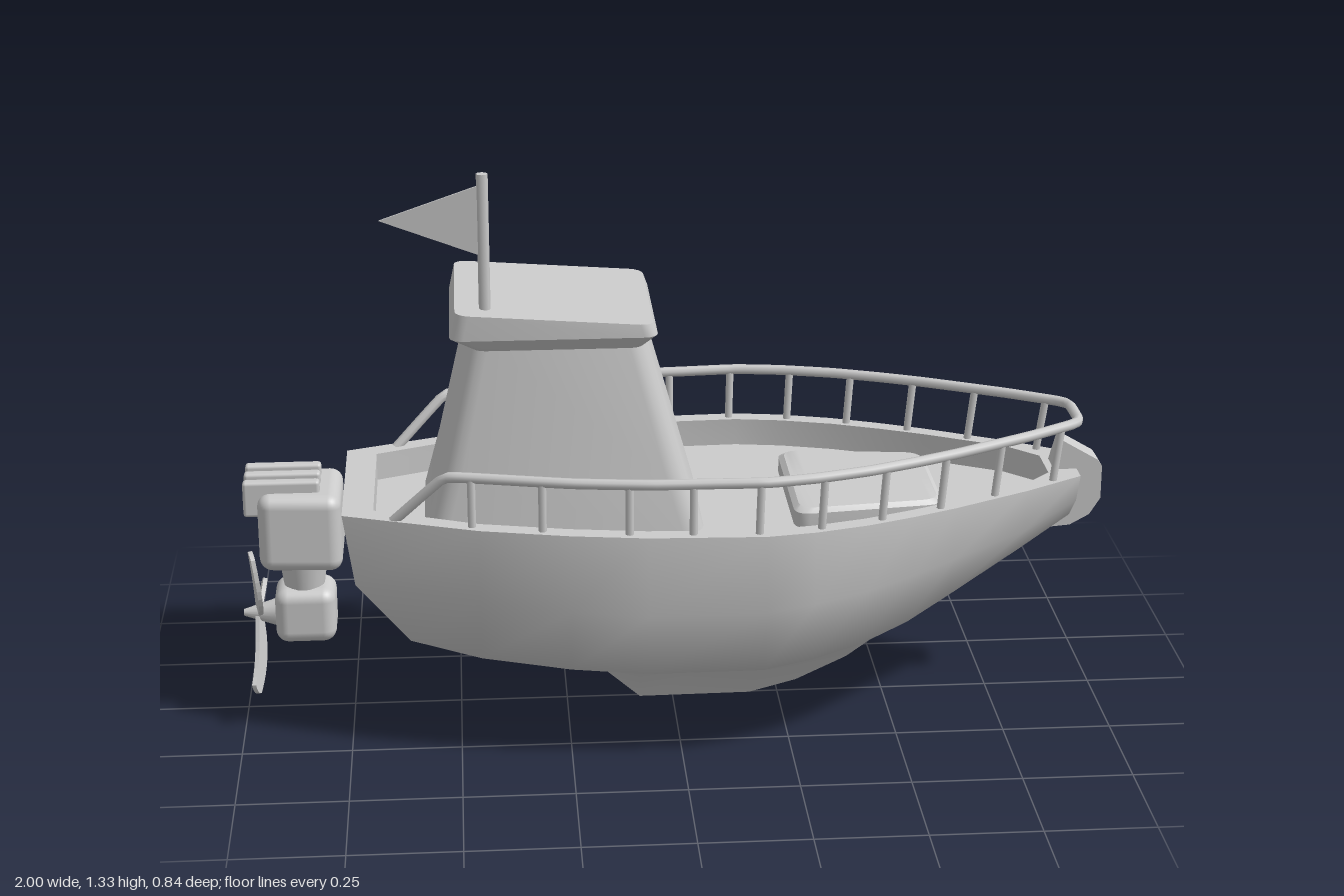
import * as THREE from 'three';
import { toCreasedNormals } from 'three/addons/utils/BufferGeometryUtils.js';
import { RoundedBoxGeometry } from 'three/addons/geometries/RoundedBoxGeometry.js';

const grey = new THREE.MeshStandardMaterial({ color: 0xcccccc });
const thin = new THREE.MeshStandardMaterial({ color: 0xcccccc, side: THREE.DoubleSide });

function add(parent, name, geometry, x = 0, y = 0, z = 0, material = grey) {
  const mesh = new THREE.Mesh(geometry, material);
  mesh.name = name;
  mesh.position.set(x, y, z);
  parent.add(mesh);
  return mesh;
}

// Skin through rings of [x, y, z] points
function loft(rings, closed, crease = 0.6) {
  const n = rings[0].length, index = [];
  for (let i = 0; i < rings.length - 1; i++) {
    for (let j = 0; j < (closed ? n : n - 1); j++) {
      const k = (j + 1) % n;
      const a = i * n + j, b = i * n + k, c = b + n, d = a + n;
      index.push(a, b, d, b, c, d);
    }
  }
  const g = new THREE.BufferGeometry();
  g.setAttribute('position', new THREE.Float32BufferAttribute(rings.flat(2), 3));
  g.setIndex(index);
  g.computeVertexNormals();
  return crease ? toCreasedNormals(g, crease) : g;
}

// Horizontal rounded rectangle; y falls by tilt from back to front
function roundRect(x0, x1, w, y, r, tilt = 0) {
  const pts = [], cx = (x0 + x1) / 2, hx = (x1 - x0) / 2;
  const corners = [[1, -1], [-1, -1], [-1, 1], [1, 1]];
  corners.forEach(([sx, sz], q) => {
    for (let s = 0; s <= 4; s++) {
      const t = (q + s / 4) * Math.PI / 2;
      const x = cx + sx * (hx - r) + r * Math.cos(t);
      pts.push([x, y - tilt * (x - x0) / (x1 - x0), sz * (w - r) - r * Math.sin(t)]);
    }
  });
  return pts;
}

function rod(parent, name, a, b, r) {
  const from = new THREE.Vector3(...a), dir = new THREE.Vector3(...b).sub(from);
  const m = add(parent, name, new THREE.CylinderGeometry(r, r, dir.length(), 8));
  m.position.copy(from).addScaledVector(dir, 0.5);
  m.quaternion.setFromUnitVectors(new THREE.Vector3(0, 1, 0), dir.normalize());
}

const mirror = pts => pts.map(([x, y, z]) => [x, y, -z]);

// Hull stations, x then [y, halfWidth] at gunwale, bulge, chine, keel root, keel foot, keel
const TOP = 0.565;
const stations = [
  [-0.45, [TOP, 0.32], [0.40, 0.325], [0.235, 0.27], [0.207, 0.09], [0.203, 0.03], [0.202, 0]],
  [-0.25, [TOP, 0.365], [0.39, 0.38], [0.228, 0.33], [0.173, 0.1], [0.168, 0.04], [0.165, 0]],
  [-0.08, [TOP, 0.39], [0.385, 0.41], [0.225, 0.36], [0.165, 0.1], [0.02, 0.04], [0.005, 0]],
  [0.18, [TOP, 0.4], [0.39, 0.418], [0.23, 0.368], [0.17, 0.1], [0.022, 0.04], [0.006, 0]],
  [0.29, [TOP, 0.383], [0.40, 0.398], [0.24, 0.342], [0.18, 0.1], [0.05, 0.038], [0.036, 0]],
  [0.41, [TOP, 0.35], [0.41, 0.36], [0.255, 0.295], [0.2, 0.1], [0.105, 0.035], [0.09, 0]],
  [0.52, [TOP, 0.307], [0.425, 0.312], [0.278, 0.235], [0.235, 0.09], [0.182, 0.03], [0.17, 0]],
  [0.62, [TOP, 0.262], [0.44, 0.262], [0.315, 0.18], [0.302, 0.08], [0.298, 0.03], [0.296, 0]],
  [0.8, [TOP, 0.168], [0.465, 0.162], [0.39, 0.09], [0.384, 0.05], [0.38, 0.02], [0.38, 0]],
].map(([x, ...p]) => p.map(([y, z]) => [x, y, z]));
stations.unshift([[-0.755, TOP, 0.208], [-0.73, 0.4, 0.215], [-0.61, 0.243, 0.18],
  [-0.61, 0.24, 0.06], [-0.61, 0.238, 0.02], [-0.61, 0.237, 0]]);
stations.push([[0.94, TOP, 0.083], [0.935, 0.5, 0.07], [0.925, 0.455, 0.045],
  [0.92, 0.45, 0.03], [0.92, 0.447, 0.015], [0.92, 0.445, 0]]);

const gunwale = stations.map(s => s[0]);
function widthAt(x) {
  let i = 1;
  while (i < gunwale.length - 1 && gunwale[i][0] < x) i++;
  const [a, b] = [gunwale[i - 1], gunwale[i]];
  return THREE.MathUtils.lerp(a[2], b[2], (x - a[0]) / (b[0] - a[0]));
}

function buildHull(boat) {
  const hull = new THREE.Group();
  hull.name = 'hull';
  boat.add(hull);
  const sections = stations.map(s => [...s, ...mirror(s.slice(0, -1)).reverse()]);
  add(hull, 'hullShell', loft(sections, false, 0));
  const stern = stations[0], bow = stations[stations.length - 1];
  add(hull, 'transom', loft([mirror(stern), stern], false));
  add(hull, 'bowCap', loft([bow, mirror(bow)], false));

  // Rim, inner wall and sunken deck in one skin
  const ring = half => [...half, ...mirror(half).reverse()];
  const inner = y => gunwale.map(([x, , z], i) =>
    [THREE.MathUtils.clamp(x, -0.685, 0.87), y, i === 0 ? 0.18 : Math.max(z - 0.042, 0.055)]);
  add(hull, 'rimAndDeck', loft([ring(gunwale), ring(inner(TOP)), ring(inner(0.5)),
    ring(inner(0.5).map(([x, y]) => [x, y, 0]))], true));

  // Bow post
  const post = new THREE.Shape([[0.87, 0.42], [0.93, 0.425], [0.975, 0.45], [1, 0.49], [1, 0.57],
    [0.99, 0.585], [0.905, 0.635], [0.87, 0.5]].map(p => new THREE.Vector2(...p)));
  add(hull, 'bowPost', new THREE.ExtrudeGeometry(post, { depth: 0.07, bevelEnabled: false }), 0, 0, -0.035);

  // Deck hatch, narrower toward the bow
  const taper = pts => pts.map(([x, y, z]) => [x, y, z * (1 - 0.6 * Math.max(0, x - 0.27))]);
  const hatch = [[0, 0.495], [0, 0.535], [0.012, 0.545]].map(([d, y]) =>
    taper(roundRect(0.265 + d, 0.61 - d, 0.2 - d, y, 0.035)));
  hatch.push(hatch[2].map(([x, y]) => [x, y, 0]));
  add(hull, 'hatch', loft(hatch, true));
}

function buildCabin(boat) {
  const cabin = new THREE.Group();
  cabin.name = 'cabin';
  boat.add(cabin);
  add(cabin, 'cabinWalls', loft([
    roundRect(-0.575, 0.062, 0.212, 0.49, 0.05), roundRect(-0.535, 0.02, 0.197, 0.64, 0.05),
    roundRect(-0.465, -0.065, 0.17, 0.945, 0.045)], true));
  const roof = [roundRect(-0.455, -0.075, 0.18, 0.935, 0.03), roundRect(-0.505, -0.045, 0.21, 0.968, 0.03),
    roundRect(-0.492, -0.055, 0.21, 1.028, 0.03, 0.032)];
  roof.unshift(roof[0].map(([x, y]) => [x, y, 0]));
  roof.push(roof[3].map(([x, y]) => [x, y, 0]));
  add(cabin, 'roof', loft(roof, true, 0.5));

  // Flag
  rod(cabin, 'flagPole', [-0.425, 1.0, 0.147], [-0.425, 1.33, 0.147], 0.013);
  const flag = new THREE.Shape([[0, 0.08], [-0.222, 0], [0, -0.08]].map(p => new THREE.Vector2(...p)));
  add(cabin, 'flag', new THREE.ExtrudeGeometry(flag, { depth: 0.006, bevelEnabled: false }),
    -0.43, 1.225, 0.144, thin).rotation.y = -0.06;
}

function buildRailing(boat) {
  const rail = new THREE.Group();
  rail.name = 'railing';
  boat.add(rail);
  const railY = x => 0.68 + 0.008 * (x + 0.5);
  const side = [[-0.64, 0.56, 0.235], [-0.53, 0.67, 0.272]];
  for (const x of [-0.49, -0.25, -0.08, 0.05, 0.18, 0.29, 0.41, 0.52, 0.62, 0.8, 0.91])
    side.push([x, railY(x), widthAt(x) - 0.018]);
  side.push([0.935, railY(0.935), 0.055]);
  const path = new THREE.CatmullRomCurve3([...side, ...mirror(side).reverse()]
    .map(p => new THREE.Vector3(...p)), false, 'catmullrom', 0.2);
  add(rail, 'handrail', new THREE.TubeGeometry(path, 160, 0.012, 8));
  for (const s of [1, -1])
    for (const x of [-0.465, -0.31, -0.12, 0.02, 0.165, 0.305, 0.445, 0.585, 0.72, 0.87]) {
      const top = x + 0.02 * Math.max(0, x);
      rod(rail, 'stanchion', [x, 0.555, s * (widthAt(x) - 0.022)], [top, railY(top), s * (widthAt(top) - 0.018)], 0.009);
    }
}

function buildMotor(boat) {
  const motor = new THREE.Group();
  motor.name = 'outboardMotor';
  motor.position.z = -0.01;
  boat.add(motor);
  const head = new RoundedBoxGeometry(0.19, 0.185, 0.225, 4, 0.03);
  const p = head.attributes.position;
  for (let i = 0; i < p.count; i++) p.setZ(i, p.getZ(i) * (0.93 + 0.7 * p.getX(i)));
  add(motor, 'motorHead', head, -0.857, 0.472, 0);
  for (const z of [-0.055, 0, 0.055])
    add(motor, 'coolingRib', new RoundedBoxGeometry(0.175, 0.085, 0.028, 2, 0.008), -0.897, 0.549, z);
  add(motor, 'neck', new THREE.CylinderGeometry(0.058, 0.045, 0.09, 20), -0.857, 0.345, 0);
  add(motor, 'gearCase', new RoundedBoxGeometry(0.14, 0.132, 0.13, 4, 0.03), -0.855, 0.25, 0);

  // Propeller
  const prop = new THREE.Group();
  prop.name = 'propeller';
  prop.position.set(-0.965, 0.243, 0);
  motor.add(prop);
  add(prop, 'hub', new THREE.CylinderGeometry(0.008, 0.032, 0.075, 16), 0.0025, 0, 0).rotation.z = Math.PI / 2;
  const blade = new THREE.Shape();
  blade.moveTo(-0.012, 0);
  blade.bezierCurveTo(-0.06, 0.07, -0.045, 0.13, 0.005, 0.19);
  blade.quadraticCurveTo(0.03, 0.195, 0.045, 0.175);
  blade.bezierCurveTo(0.015, 0.12, 0.015, 0.07, 0.014, 0);
  const bladeGeo = new THREE.ExtrudeGeometry(blade, { depth: 0.01, bevelEnabled: false, curveSegments: 8 });
  bladeGeo.translate(0, 0, -0.005).rotateY(Math.PI / 2 + 0.25);
  for (let i = 0; i < 3; i++)
    add(prop, 'blade', bladeGeo).rotation.x = -Math.PI / 2 + i * Math.PI * 2 / 3;
}

export function createModel() {
  const boat = new THREE.Group();
  boat.name = 'boat';
  buildHull(boat);
  buildCabin(boat);
  buildRailing(boat);
  buildMotor(boat);
  return boat;
}
